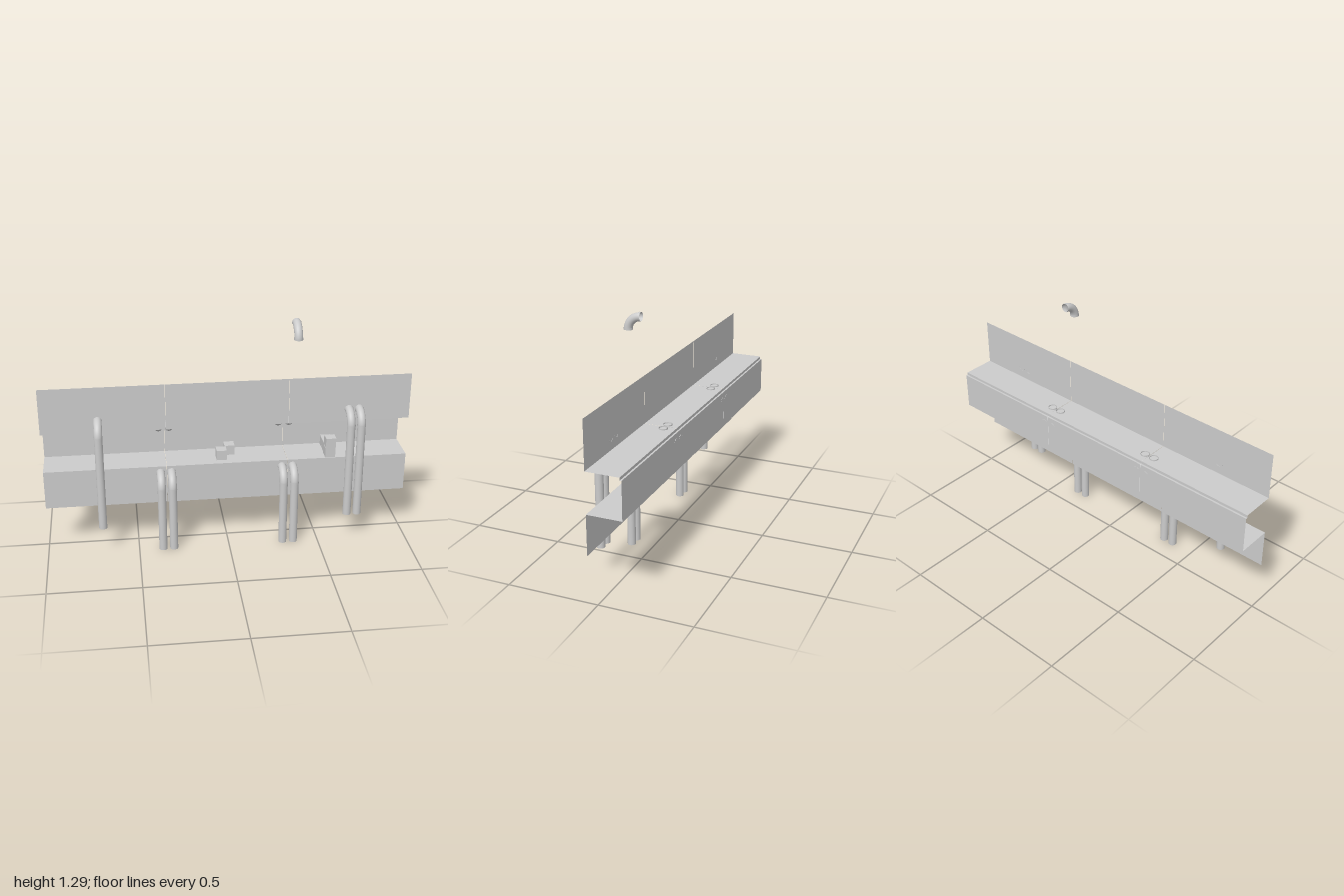
import * as THREE from 'three';

const metal = new THREE.MeshStandardMaterial({ color: 0xcccccc, side: THREE.DoubleSide });
const PIPE_R = 0.0225, BEND = 0.071, WALL_Z = 0.05, PIPE_Z = WALL_Z + BEND;

function add(parent, geometry, name, x = 0, y = 0, z = 0) {
  const mesh = new THREE.Mesh(geometry, metal);
  mesh.name = name;
  mesh.position.set(x, y, z);
  parent.add(mesh);
  return mesh;
}

// Folded sheet: a (z, y) profile swept along x, one flat quad per fold
function foldedSheet(profile, x0, x1) {
  const pos = [];
  for (let i = 0; i + 1 < profile.length; i++) {
    const [za, ya] = profile[i], [zb, yb] = profile[i + 1];
    pos.push(x0, ya, za, x0, yb, zb, x1, yb, zb, x0, ya, za, x1, yb, zb, x1, ya, za);
  }
  const g = new THREE.BufferGeometry();
  g.setAttribute('position', new THREE.Float32BufferAttribute(pos, 3));
  g.computeVertexNormals();
  return g;
}

// Quarter bend from the top of an upright pipe (origin) back to the wall, with collars
function makeElbow(name) {
  const elbow = new THREE.Group();
  elbow.name = name;
  const points = [];
  for (let i = 0; i <= 10; i++) {
    const a = (i / 10) * Math.PI / 2;
    points.push(new THREE.Vector3(0, BEND * Math.sin(a), BEND * (Math.cos(a) - 1)));
  }
  const curve = new THREE.CatmullRomCurve3(points);
  add(elbow, new THREE.TubeGeometry(curve, 16, PIPE_R, 20), 'bend');
  const collar = new THREE.CylinderGeometry(PIPE_R + 0.0015, PIPE_R + 0.0015, 0.01, 20, 1, true);
  add(elbow, collar, 'lowerCollar', 0, 0.005, 0);
  add(elbow, collar, 'wallCollar', 0, BEND, -BEND + 0.005).rotation.x = Math.PI / 2;
  return elbow;
}

// Upright open pipe finished with an elbow into the wall
function makeStandpipe(x, bottom, top) {
  const pipe = new THREE.Group();
  pipe.name = 'standpipe';
  const h = top - bottom;
  add(pipe, new THREE.CylinderGeometry(PIPE_R, PIPE_R, h, 20, 1, true), 'uprightPipe', 0, bottom + h / 2, 0);
  const elbow = makeElbow('topElbow');
  elbow.position.y = top;
  pipe.add(elbow);
  pipe.position.set(x, 0, PIPE_Z);
  return pipe;
}

export function createModel() {
  const model = new THREE.Group();
  model.name = 'pipeWall';

  // Wall with a recessed shelf, in three bays separated by fine seams
  const profile = [
    [WALL_Z, 0.955], [WALL_Z, 0.695], [-0.13, 0.695], [-0.13, 0.68],
    [-0.14, 0.68], [-0.14, 0.474], [WALL_Z, 0.474], [WALL_Z, 0.255],
  ];
  const seams = [-1, -1 / 3, 1 / 3, 1], gap = 0.001;
  for (let i = 0; i < 3; i++) {
    const x0 = seams[i] + (i > 0 ? gap : 0), x1 = seams[i + 1] - (i < 2 ? gap : 0);
    add(model, foldedSheet(profile, x0, x1), 'wallBay');
  }

  // Tall and short standpipes
  for (const x of [-0.694, 0.663, 0.72]) model.add(makeStandpipe(x, 0.155, 0.692));
  for (const x of [-0.368, -0.308, 0.302, 0.362]) model.add(makeStandpipe(x, 0, 0.366));

  // Loose elbow above the wall
  const loose = makeElbow('upperElbow');
  loose.position.set(0.36, 1.2, PIPE_Z);
  model.add(loose);

  // Elbows in the recess, from the ceiling to the back
  for (const x of [-0.366, -0.308, 0.303, 0.362]) {
    const elbow = makeElbow('recessElbow');
    elbow.rotation.z = Math.PI;
    elbow.position.set(x, 0.7, -0.069);
    model.add(elbow);
  }

  // Crates on the shelf: x, y, z of centre
  const size = 0.056, low = 0.474 + size / 2;
  const crates = [
    [-0.028, low, -0.018], [0.022, low, -0.078],
    [0.573, low, 0.016], [0.577, low, -0.044], [0.577, low, -0.103],
    [0.575, low + size, 0.016],
  ];
  for (const c of crates) add(model, new THREE.BoxGeometry(size, size, size), 'crate', ...c);

  return model;
}
